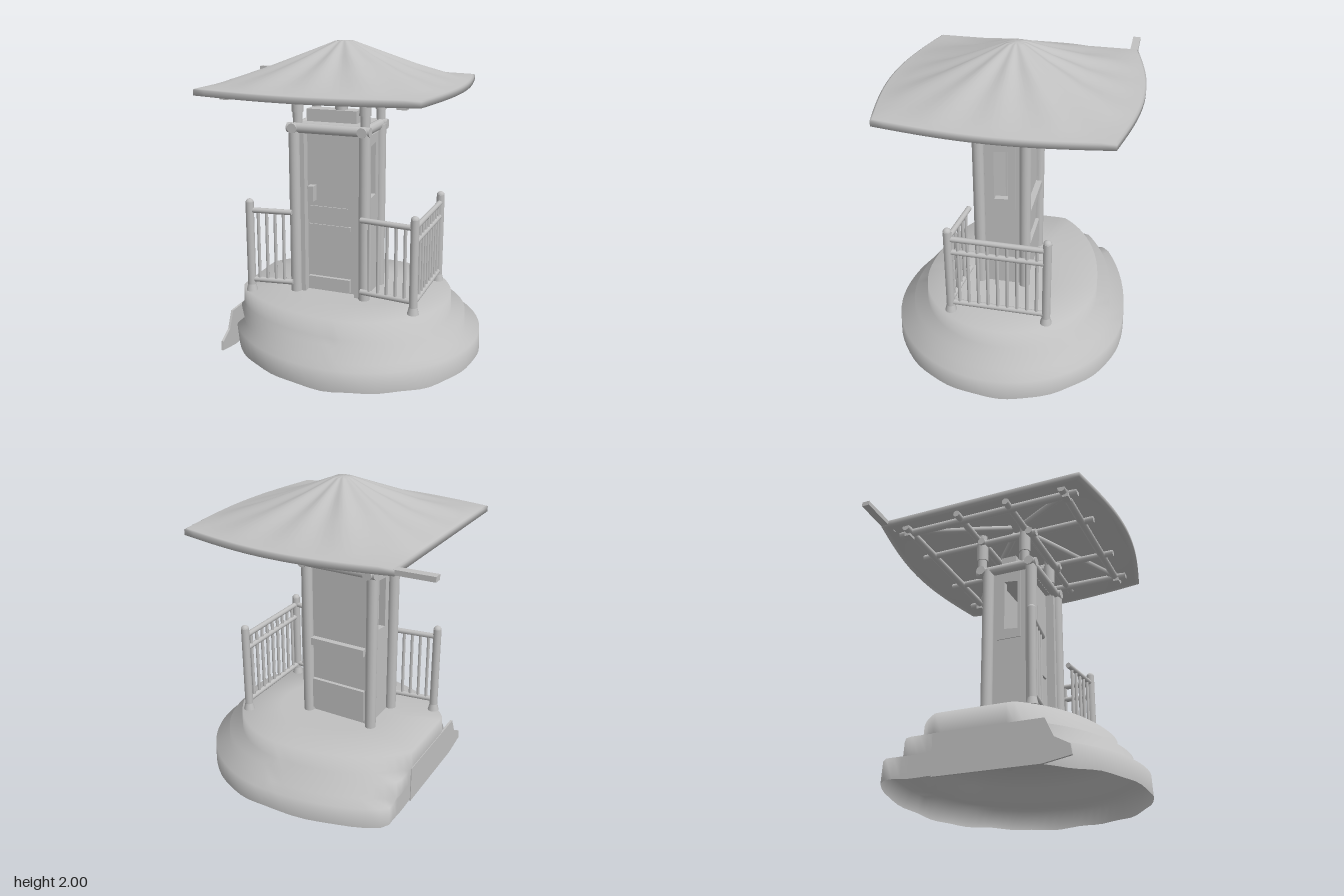
import * as THREE from 'three';

const stone = new THREE.MeshStandardMaterial({ color: 0xc0c0c0 });
stone.name = 'plain grey';
stone.side = THREE.DoubleSide;

export function createModel() {
  const model = new THREE.Group();
  model.name = 'watchtower';

  const add = (name, geometry, x = 0, y = 0, z = 0, parent = model) => {
    const mesh = new THREE.Mesh(geometry, stone);
    mesh.name = name;
    mesh.position.set(x, y, z);
    parent.add(mesh);
    return mesh;
  };
  const box = (name, x0, x1, y0, y1, z0, z1, parent) => add(name,
    new THREE.BoxGeometry(x1 - x0, y1 - y0, z1 - z0),
    (x0 + x1) / 2, (y0 + y1) / 2, (z0 + z1) / 2, parent);
  // Round bar between two points
  const bar = (name, a, b, r, parent, sides = 10) => {
    const p = new THREE.Vector3(...a), q = new THREE.Vector3(...b);
    const d = q.clone().sub(p);
    const mesh = add(name, new THREE.CylinderGeometry(r, r, d.length(), sides), 0, 0, 0, parent);
    mesh.position.copy(p).add(q).multiplyScalar(0.5);
    mesh.quaternion.setFromUnitVectors(new THREE.Vector3(0, 1, 0), d.normalize());
    return mesh;
  };
  // Flat outline in the z-y plane, given thickness along x
  const sidePlate = (name, points, depth, x, parent, holePoints) => {
    const outline = list => list.map(([z, y]) => new THREE.Vector2(-z, y));
    const shape = new THREE.Shape(outline(points));
    if (holePoints) shape.holes.push(new THREE.Path(outline(holePoints)));
    const mesh = add(name, new THREE.ExtrudeGeometry(shape, { depth, bevelEnabled: false }), x, 0, 0, parent);
    mesh.rotation.y = Math.PI / 2;
  };
  // Smooth surface through closed rings, each ring a rule from angle to point
  const loft = (rings, n) => {
    const pos = [], index = [];
    rings.forEach(ring => {
      for (let j = 0; j < n; j++) pos.push(...ring(j / n * Math.PI * 2));
    });
    for (let i = 0; i < rings.length - 1; i++) for (let j = 0; j < n; j++) {
      const k = (j + 1) % n, a = i * n + j, b = i * n + k;
      index.push(a, b, a + n, b, b + n, a + n);
    }
    const g = new THREE.BufferGeometry();
    g.setAttribute('position', new THREE.Float32BufferAttribute(pos, 3));
    g.setIndex(index);
    g.computeVertexNormals();
    return g;
  };

  // Stepped round base: a thin shell, open below, cut flat on one side,
  // with the lowest step drawn in at the front of the cut
  const baseRing = (r, y, front = 1.5, wave = 0) => t => {
    const c = Math.cos(t), s = Math.sin(t);
    const stretch = s > 0 ? front : 1.5;
    const x = c > 0 ? 0.145 + r * c : Math.max(0.145 + c * r * stretch, -0.64);
    return [x, y + wave * (1 + Math.sin(t * 11) * Math.cos(t * 4)), r * s];
  };
  add('steppedBase', loft([
    baseRing(0.001, 0.37), baseRing(0.3, 0.37), baseRing(0.575, 0.37), baseRing(0.58, 0.25),
    baseRing(0.67, 0.25, 1.3), baseRing(0.675, 0.14, 1.25),
    baseRing(0.77, 0.14, 1.15), baseRing(0.775, 0, 1.12, 0.008)
  ], 72));
  sidePlate('brokenSideWall', [[-0.25, 0], [0.4, 0], [0.57, 0.03], [0.56, 0.09],
    [0.47, 0.14], [0.42, 0.25], [-0.25, 0.25]], 0.015, -0.645);

  // Cabin: four posts, front and back panels, side walls with framed windows
  const cabin = new THREE.Group();
  cabin.name = 'cabin';
  model.add(cabin);
  for (const x of [-0.265, 0.21]) for (const z of [0.2, -0.1])
    bar('cornerPost', [x, 0.37, z], [x, 1.47, z], 0.037, cabin, 14);
  box('doorPanel', -0.2, 0.14, 0.37, 1.45, 0.12, 0.145, cabin);
  box('doorLowerStep', -0.19, 0.1, 0.38, 0.47, 0.14, 0.17, cabin);
  box('doorRail', -0.19, 0.1, 0.8, 0.83, 0.14, 0.16, cabin);
  box('doorMidPanel', -0.18, 0.08, 0.83, 0.95, 0.14, 0.153, cabin);
  box('doorJamb', -0.24, -0.2, 0.37, 1.45, 0.11, 0.2, cabin);
  box('doorJamb', 0.14, 0.19, 0.37, 1.45, 0.11, 0.2, cabin);
  box('doorHandle', -0.18, -0.14, 0.99, 1.09, 0.14, 0.2, cabin);
  box('backPanel', -0.23, 0.18, 0.37, 1.45, -0.09, -0.07, cabin);
  box('backShelf', -0.22, 0.17, 0.88, 0.93, -0.13, -0.08, cabin);
  box('backLowerPanel', -0.22, 0.17, 0.4, 0.62, -0.115, -0.08, cabin);
  const windowHole = [[0.1, 1.02], [0.1, 1.36], [0.01, 1.37], [0.01, 1.03]];
  for (const x of [-0.25, 0.18]) {
    sidePlate('sideWall', [[0.16, 0.37], [-0.1, 0.37], [-0.1, 1.45], [0.16, 1.45]],
      0.03, x, cabin, windowHole);
    sidePlate('windowFrame', [[0.12, 0.96], [0.12, 1.43], [-0.04, 1.43], [-0.04, 0.96]],
      0.042, x - 0.006, cabin, windowHole);
  }

  // Ring beams and the open lantern stage above the cabin
  for (const [y, r] of [[1.465, 0.032], [1.69, 0.025]]) {
    for (const z of [0.2, -0.14]) bar('ringBeam', [-0.31, y, z], [0.245, y, z], r, cabin);
    for (const x of [-0.265, 0.2]) bar('ringBeam', [x, y, 0.24], [x, y, -0.18], r, cabin);
  }
  for (const x of [-0.26, 0.195]) for (const z of [0.155, -0.15]) {
    bar('upperPost', [x, 1.46, z], [x, 1.75, z], 0.031, cabin, 12);
    bar('upperPostHead', [x, 1.56, z], [x, 1.7, z], 0.038, cabin, 12);
  }
  box('cabinCeiling', -0.26, 0.2, 1.44, 1.49, -0.13, 0.18, cabin);
  box('lampPlinth', -0.23, 0.11, 1.49, 1.57, -0.02, 0.08, cabin);
  bar('lampStem', [-0.01, 1.56, 0.03], [-0.01, 1.9, 0.03], 0.02, cabin);
  bar('lamp', [-0.01, 1.57, 0.03], [-0.01, 1.63, 0.03], 0.04, cabin);

  // Railing: posts, two or three rails and thin balusters
  const rails = new THREE.Group();
  rails.name = 'railings';
  model.add(rails);
  const railing = (a, b, heights, count) => {
    const at = (t, y) => [a[0] + (b[0] - a[0]) * t, y, a[1] + (b[1] - a[1]) * t];
    heights.forEach(y => bar('rail', at(0, y), at(1, y), 0.018, rails));
    for (let i = 1; i < count; i++)
      bar('baluster', at(i / count, 0.45), at(i / count, 0.93), 0.011, rails, 8);
  };
  railing([-0.54, 0.31], [-0.26, 0.27], [0.45, 0.925], 5);
  railing([0.57, 0.31], [0.21, 0.27], [0.45, 0.925], 6);
  railing([0.57, 0.31], [0.57, -0.31], [0.44, 0.83, 0.925], 10);
  for (const [x, z] of [[-0.54, 0.31], [0.57, 0.31], [0.57, -0.31]]) {
    bar('railPost', [x, 0.37, z], [x, 0.98, z], 0.027, rails, 12);
    add('railPostCap', new THREE.SphereGeometry(0.027, 12, 8), x, 0.975, z, rails);
    add('railPostFoot', new THREE.CylinderGeometry(0.027, 0.038, 0.045, 12), x, 0.393, z, rails);
  }

  // Roof: rounded cone with radial ridges over flat corners, bowed at front and back
  const roof = new THREE.Group();
  roof.name = 'roof';
  model.add(roof);
  const eave = (s, y) => t => {
    const c = Math.cos(t), n = Math.sin(t), m = Math.max(Math.abs(c), Math.abs(n));
    const x = 0.69 * c / m, z = 0.68 * n / m;
    const bow = Math.abs(n) >= Math.abs(c) - 1e-6
      ? Math.sign(n) * 0.1 * Math.cos(x / 0.69 * Math.PI / 2) : 0;
    const side = x > 0.68 ? 0.07 * Math.cos(z / 0.68 * Math.PI / 2) : 0;
    return [(x + side) * s, y, (z + bow) * s];
  };
  const cone = (s, y, ridge = 0) => t => {
    const r = s * (0.7 + 0.1 * Math.sin(2 * t) ** 2);
    return [r * Math.cos(t), y + ridge * Math.cos(t * 12), r * Math.sin(t)];
  };
  add('roofShell', loft([
    cone(0.001, 2), cone(0.08, 1.997), cone(0.3, 1.925, 0.009), cone(0.6, 1.84, 0.01),
    cone(0.95, 1.762), eave(0.985, 1.748), eave(1, 1.742), eave(1, 1.708), eave(0.96, 1.71),
    cone(0.92, 1.74), cone(0.6, 1.815), cone(0.3, 1.895), cone(0.001, 1.965)
  ], 96), 0, 0, 0, roof);
  const plank = box('loosePlank', -0.92, -0.6, 1.715, 1.745, -0.68, -0.63, roof);
  plank.rotation.z = -0.02;

  // Rafters and eave poles under the roof
  for (const s of [-1, 1]) {
    bar('eavePole', [-0.62, 1.715, s * 0.54], [0.62, 1.715, s * 0.54], 0.025, roof);
    bar('eavePole', [s * 0.54, 1.715, -0.62], [s * 0.54, 1.715, 0.62], 0.025, roof);
    bar('tieBeam', [-0.62, 1.72, s * 0.17], [0.62, 1.72, s * 0.17], 0.022, roof);
    bar('tieBeam', [s * 0.22, 1.72, -0.62], [s * 0.22, 1.72, 0.62], 0.022, roof);
    for (const k of [-1, 1]) {
      bar('hipRafter', [s * 0.55, 1.72, k * 0.55], [s * 0.04, 1.93, k * 0.04], 0.022, roof);
      box('eaveBlock', s * 0.55 - 0.03, s * 0.55 + 0.03, 1.675, 1.72, k * 0.55 - 0.02, k * 0.55 + 0.02, roof);
    }
  }
  return model;
}
